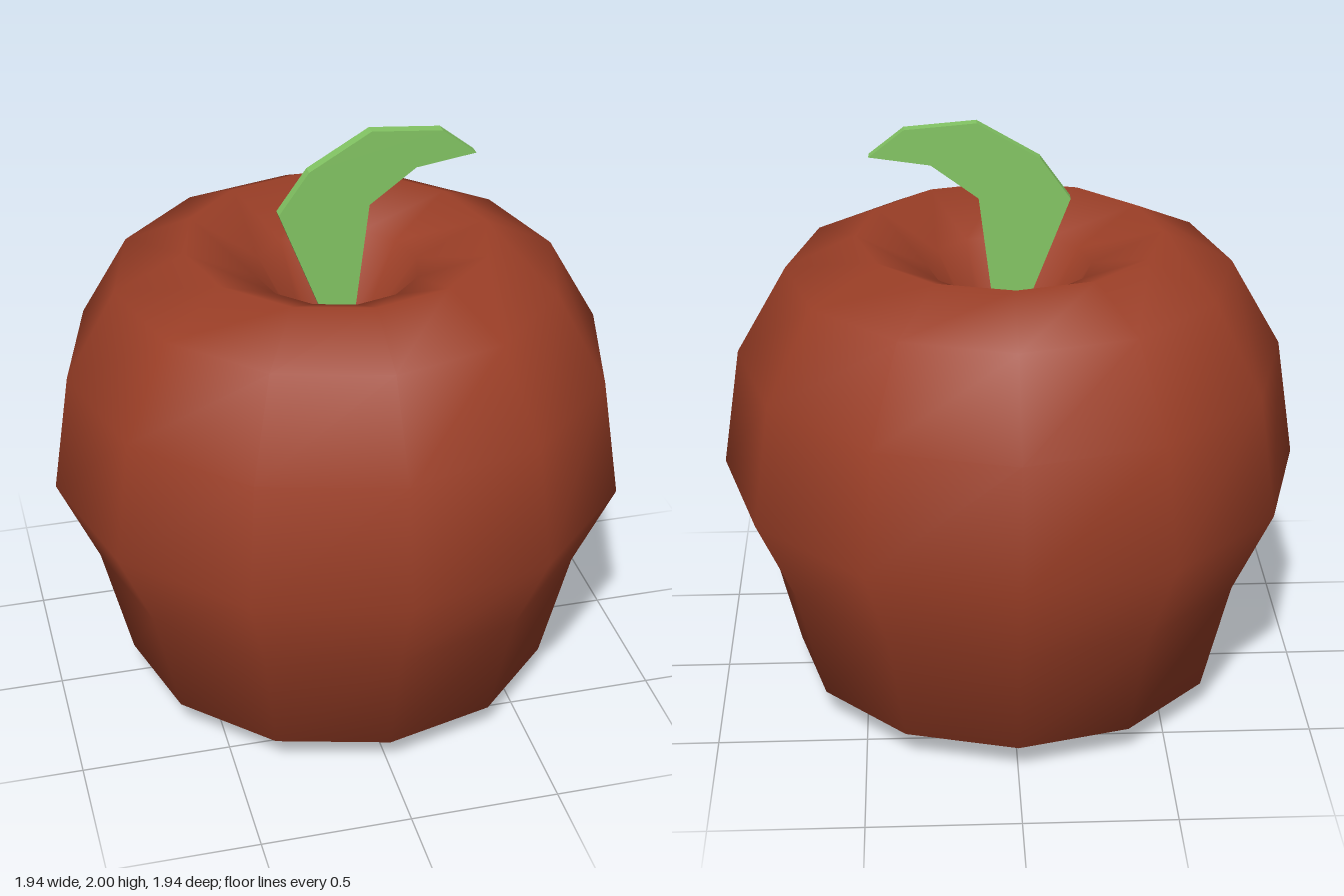
import * as THREE from 'three';
import { mergeVertices } from 'three/addons/utils/BufferGeometryUtils.js';

const RING = 0.505, TUBE = 0.465, HALF_HEIGHT = 0.8125;

// Fruit: a tall 12 x 12 torus, pinched along one lower outer ring
function fruitGeometry() {
  let geo = new THREE.TorusGeometry(RING, TUBE, 12, 12);
  geo.rotateX(-Math.PI / 2);
  const pos = geo.attributes.position;
  for (let i = 0; i < pos.count; i++) {
    const x = pos.getX(i), z = pos.getZ(i), radius = Math.hypot(x, z);
    const sine = pos.getY(i) / TUBE;
    let y = HALF_HEIGHT * (1 + sine), k = 1;
    if (Math.abs(sine + 0.5) < 0.01 && radius > RING) {
      k = 0.835 / radius;
      y = 0.51;
    }
    pos.setXYZ(i, x * k, y, z * k);
  }
  // Weld the seams so the shading is smooth all round
  geo.deleteAttribute('normal');
  geo.deleteAttribute('uv');
  geo = mergeVertices(geo, 1e-4);
  geo.computeVertexNormals();
  return geo;
}

// Stem: a thin curved plate tapering down into the hollow
function stemGeometry() {
  const outline = [
    [0, 1.22], [0.035, 1.22], [0.1, 1.745], [0.255, 1.86], [0.455, 1.89],
    [0.34, 1.98], [0.105, 2], [-0.1, 1.88], [-0.2, 1.74],
  ].map(([x, y]) => new THREE.Vector2(x, y));
  return new THREE.ExtrudeGeometry(new THREE.Shape(outline), { depth: 0.038, bevelEnabled: false });
}

export function createModel() {
  const group = new THREE.Group();
  group.name = 'apple';
  const add = (name, geo, options) => {
    const mesh = new THREE.Mesh(geo, new THREE.MeshStandardMaterial(options));
    mesh.name = name;
    group.add(mesh);
  };
  add('fruit', fruitGeometry(), { color: 0x9c3f27 });
  add('stem', stemGeometry(), { color: 0x84c664, flatShading: true });
  return group;
}
